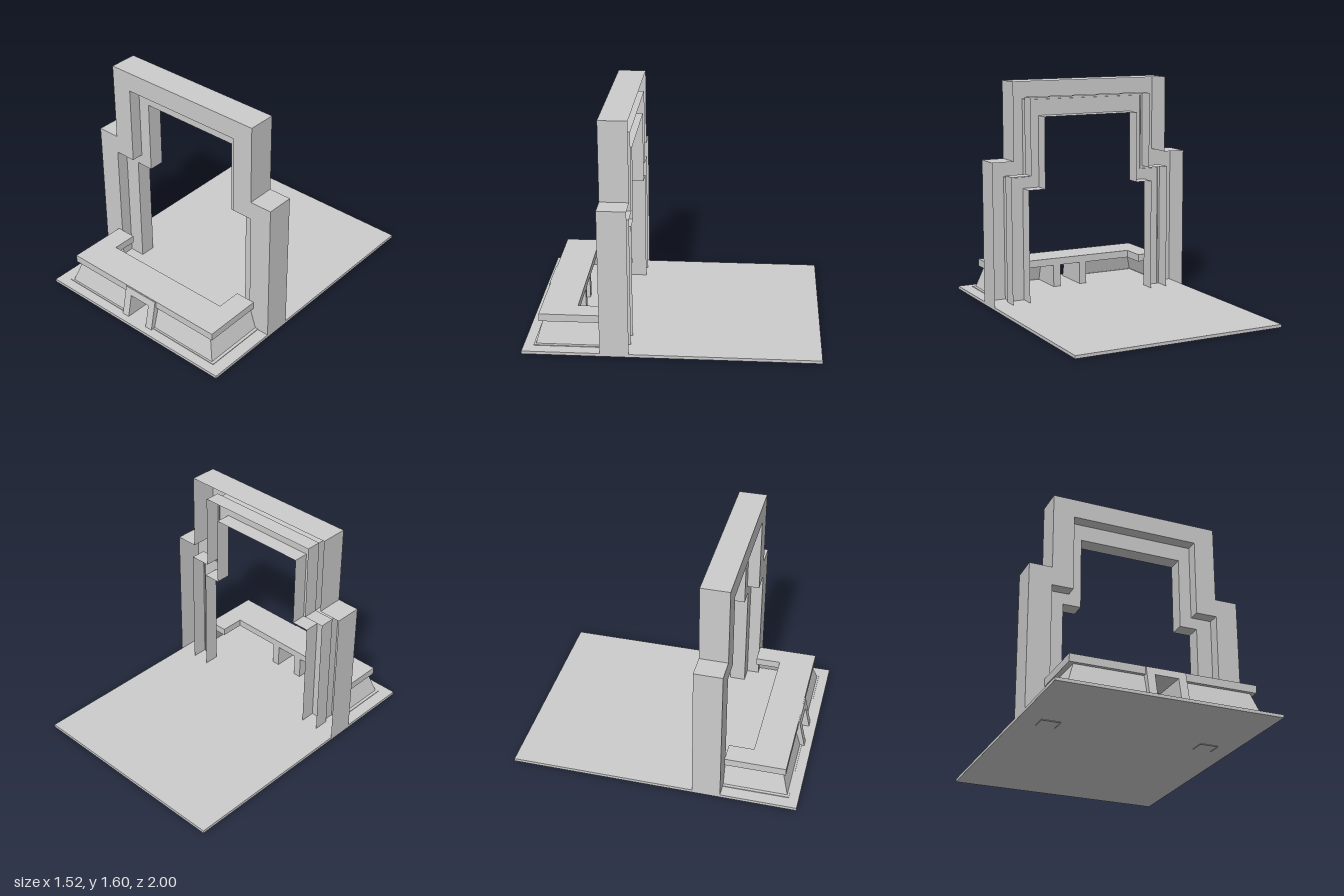
import * as THREE from 'three';

const material = new THREE.MeshStandardMaterial({ color: 0xcccccc, flatShading: true, side: THREE.DoubleSide });

function add(group, name, geometry, x = 0, y = 0, z = 0) {
  const mesh = new THREE.Mesh(geometry, material);
  mesh.name = name;
  mesh.position.set(x, y, z);
  group.add(mesh);
  return mesh;
}

// Box given by its minimum and maximum on each axis
function box(group, name, x0, x1, y0, y1, z0, z1) {
  return add(group, name, new THREE.BoxGeometry(x1 - x0, y1 - y0, z1 - z0),
    (x0 + x1) / 2, (y0 + y1) / 2, (z0 + z1) / 2);
}

// Ribbon of flat quads between two matching rows of points
function ribbon(rowA, rowB) {
  const p = [];
  for (let i = 0; i + 1 < rowA.length; i++) {
    const [a, b, c, d] = [rowA[i], rowA[i + 1], rowB[i + 1], rowB[i]];
    p.push(...a, ...b, ...c, ...a, ...c, ...d);
  }
  const g = new THREE.BufferGeometry();
  g.setAttribute('position', new THREE.Float32BufferAttribute(p, 3));
  g.computeVertexNormals();
  return g;
}

// Stepped arch outline, from the foot at -x over the top to the foot at +x
function archOutline(wide, step, narrow, top, foot) {
  const half = [[wide, foot], [wide, step], [narrow, step], [narrow, top]];
  return [...half.map(([x, y]) => [-x, y]), ...half.reverse()];
}

// Arch frame with a front face and side returns, open at the back
function archFrame(name, outer, inner, zFront, zOuterBack, zInnerBack) {
  const group = new THREE.Group();
  group.name = name;
  const shape = new THREE.Shape([...outer, ...[...inner].reverse()].map(([x, y]) => new THREE.Vector2(x, y)));
  add(group, name + 'Face', new THREE.ShapeGeometry(shape), 0, 0, zFront);
  const at = (line, z) => line.map(([x, y]) => [x, y, z]);
  add(group, name + 'OuterReturn', ribbon(at(outer, zFront), at(outer, zOuterBack)));
  add(group, name + 'InnerReturn', ribbon(at(inner, zFront), at(inner, zInnerBack)));
  return group;
}

export function createModel() {
  const model = new THREE.Group();
  model.name = 'steppedWindowWithBalcony';

  // Floor
  box(model, 'floorSlab', -0.76, 0.76, 0.006, 0.027, -1, 1);

  // Two nested stepped frames
  model.add(archFrame('outerFrame',
    archOutline(0.76, 1.045, 0.6, 1.595, 0.006),
    archOutline(0.6, 0.915, 0.45, 1.46, 0.006), 0.475, 0.28, 0.38));
  model.add(archFrame('innerFrame',
    archOutline(0.62, 0.935, 0.47, 1.48, 0),
    archOutline(0.49, 0.835, 0.365, 1.345, 0), 0.39, 0.28, 0.28));

  // Balcony: sloped parapet wall around three sides, with a doorway gap
  const balcony = new THREE.Group();
  balcony.name = 'balcony';
  model.add(balcony);
  for (const s of [-1, 1]) {
    const row = (x, y, z) => [[s * 0.12, y, z], [s * x, y, z], [s * x, y, 0.475]];
    add(balcony, 'parapetWall', ribbon(row(0.655, 0.027, 0.92), row(0.6, 0.192, 0.872)));
    // Low footing strip along the wall
    add(balcony, 'footingTop', ribbon(row(0.675, 0.032, 0.932), row(0.65, 0.032, 0.915)));
    add(balcony, 'footingEdge', ribbon(row(0.675, 0.027, 0.932), row(0.675, 0.032, 0.932)));

    // Door jamb with a sloped front
    const side = new THREE.Shape([[-0.65, 0.006], [-0.65, 0.19], [-0.915, 0.19], [-0.955, 0.006]]
      .map(([z, y]) => new THREE.Vector2(z, y)));
    const jamb = new THREE.ExtrudeGeometry(side, { depth: 0.055, bevelEnabled: false });
    jamb.rotateY(Math.PI / 2);
    add(balcony, 'doorJamb', jamb, s * 0.1075 - 0.0275);
  }

  // Door lintel, leaning back like the jambs
  const lintelSide = new THREE.Shape([[-0.88, 0.19], [-0.88, 0.24], [-0.905, 0.24], [-0.915, 0.19]]
    .map(([z, y]) => new THREE.Vector2(z, y)));
  const lintel = new THREE.ExtrudeGeometry(lintelSide, { depth: 0.27, bevelEnabled: false });
  lintel.rotateY(Math.PI / 2);
  add(balcony, 'doorLintel', lintel, -0.135);

  // U-shaped coping on top of the parapet
  const coping = new THREE.Shape([[-0.635, -0.475], [-0.635, -0.897], [0.635, -0.897], [0.635, -0.475],
    [0.49, -0.475], [0.49, -0.65], [-0.49, -0.65], [-0.49, -0.475]].map(([x, y]) => new THREE.Vector2(x, y)));
  const copingGeometry = new THREE.ExtrudeGeometry(coping, { depth: 0.053, bevelEnabled: false });
  copingGeometry.rotateX(-Math.PI / 2);
  add(balcony, 'coping', copingGeometry, 0, 0.19, 0);

  return model;
}
